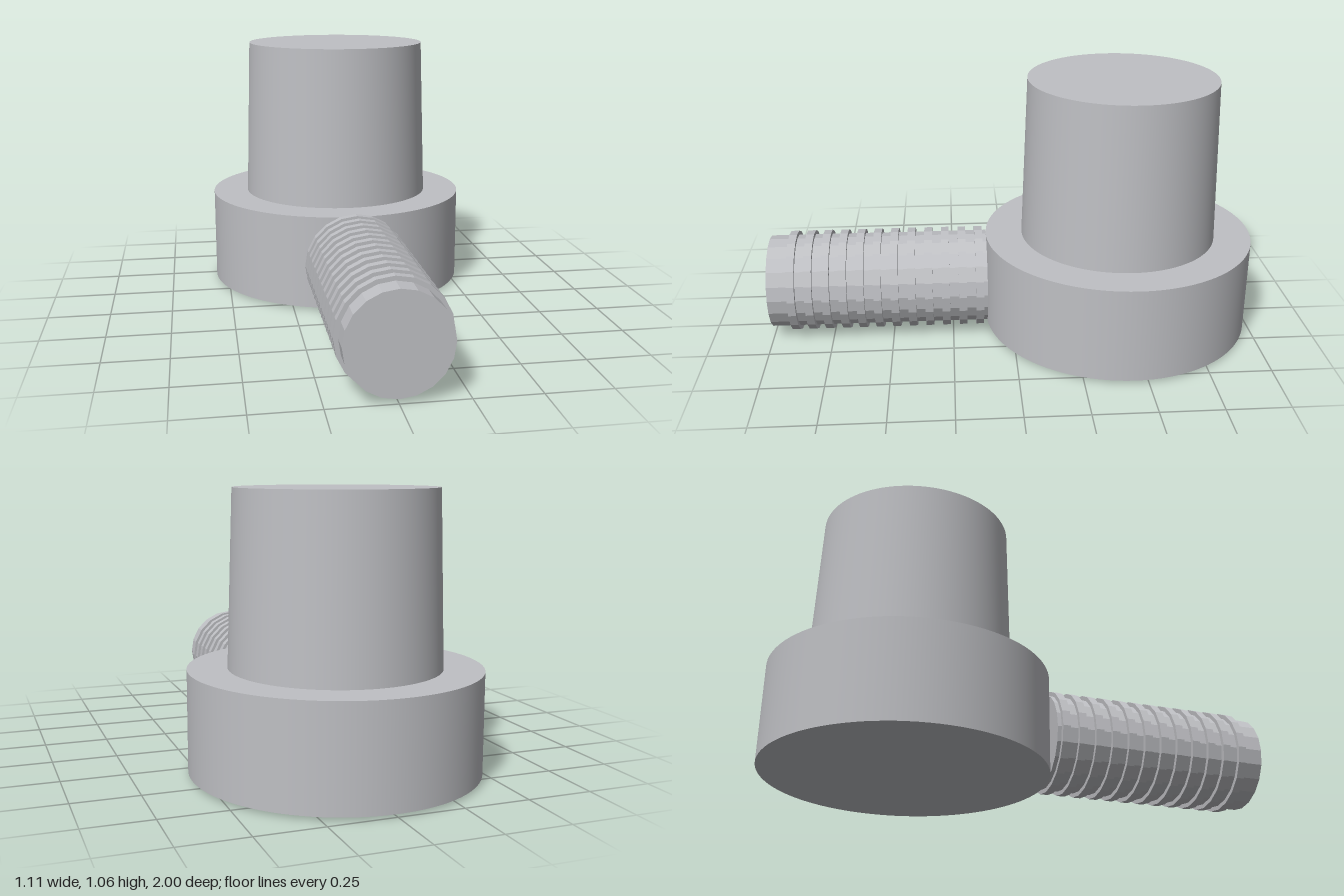
import * as THREE from 'three';

export function createModel() {
  const group = new THREE.Group();
  const smoothGrey = new THREE.MeshStandardMaterial({ color: 0xbfc0c4 });
  smoothGrey.name = 'light grey';

  // Upright round part spanning y0..y1
  const upright = (name, rTop, rBottom, y0, y1) => {
    const mesh = new THREE.Mesh(new THREE.CylinderGeometry(rTop, rBottom, y1 - y0, 96), smoothGrey);
    mesh.name = name;
    mesh.position.set(0, (y0 + y1) / 2, -0.447);
    group.add(mesh);
  };

  // Faceted round part lying along z from z0 to z1
  const lying = (name, radius, z0, z1) => {
    const geometry = new THREE.CylinderGeometry(radius, radius, z1 - z0, 20).rotateX(Math.PI / 2).toNonIndexed();
    geometry.computeVertexNormals(); // one normal per facet
    const mesh = new THREE.Mesh(geometry, smoothGrey);
    mesh.name = name;
    mesh.position.set(0, 0.209, (z0 + z1) / 2);
    group.add(mesh);
  };

  // Wide base with a slightly tapered post
  upright('base', 0.553, 0.553, 0.012, 0.4);
  upright('taperedPost', 0.381, 0.402, 0.4, 1.065);

  // Shaft with evenly spaced thread ridges
  lying('shaft', 0.191, 0.106, 1);
  for (let i = 0; i < 12; i++) {
    const z = 0.138 + i * 0.0695;
    lying(`threadRidge${i + 1}`, 0.208, z - 0.016, z + 0.016);
  }

  return group;
}
